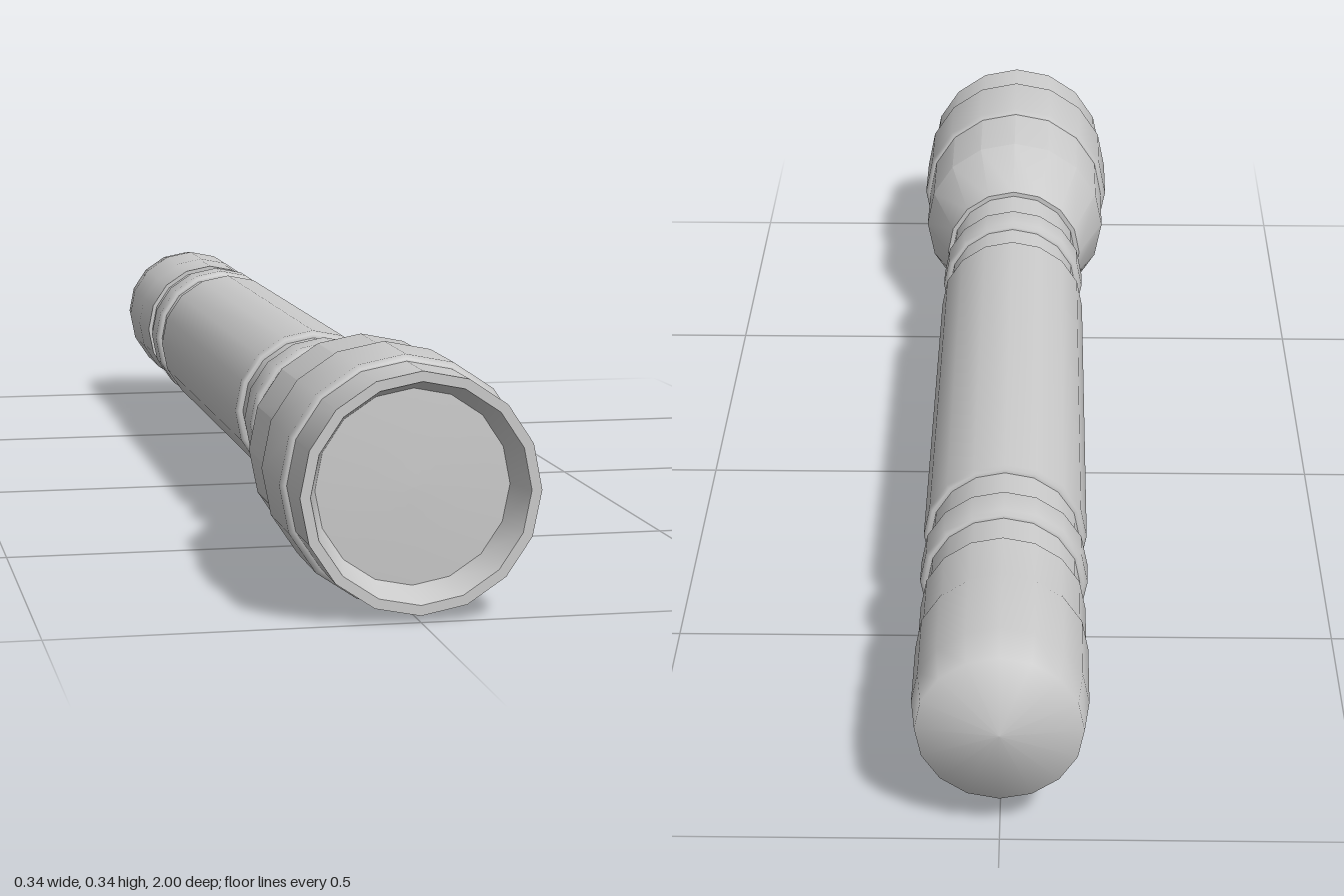
import * as THREE from 'three';
import { toCreasedNormals } from 'three/addons/utils/BufferGeometryUtils.js';

const SIDES = 16;
const AXIS_Y = 0.172;

export function createModel() {
  const torch = new THREE.Group();
  torch.name = 'flashlight';
  const material = new THREE.MeshStandardMaterial({ color: 0xcccccc });

  // Turns a [radius, z] profile, listed from tail to front, around the long axis.
  function turned(name, profile, smooth = false) {
    const points = profile.map(([r, z]) => new THREE.Vector2(r, z));
    let geometry = new THREE.LatheGeometry(points, SIDES);
    if (!smooth) geometry = toCreasedNormals(geometry, 0.5);
    geometry.rotateX(Math.PI / 2);
    const mesh = new THREE.Mesh(geometry, material);
    mesh.name = name;
    mesh.position.y = AXIS_Y;
    torch.add(mesh);
  }

  // Raised band with small bevels, sunk into the tube beneath it.
  function band(name, z0, z1, radius, base, bevel) {
    turned(name, [
      [base, z0], [radius - bevel, z0], [radius, z0 + bevel],
      [radius, z1 - bevel], [radius - bevel, z1], [base, z1],
    ], true);
  }

  // Inner tube, seen as the necks between the raised parts
  turned('tube', [[0.112, -0.69], [0.112, 0.52]]);

  // Tail cap with a shallow domed end
  turned('tailCap', [
    [0, -1], [0.115, -0.984], [0.122, -0.92], [0.122, -0.79],
    [0.119, -0.78], [0.119, -0.685],
  ], true);
  turned('tailCapShoulder', [[0.119, -0.685], [0.11, -0.685]]);

  // Grip and the ring on each side of it
  band('grip', -0.49, 0.295, 0.123, 0.11, 0.005);
  band('rearRing', -0.62, -0.558, 0.123, 0.11, 0.006);
  band('frontRing', 0.365, 0.425, 0.123, 0.11, 0.006);

  // Flared head with a hollow, bevelled mouth
  turned('head', [
    [0.108, 0.508], [0.12, 0.508], [0.163, 0.63], [0.163, 1],
    [0.149, 1], [0.133, 0.95],
  ]);
  band('headCollar', 0.77, 0.91, 0.172, 0.16, 0.006);

  // Lens at the bottom of the mouth
  turned('lens', [[0.133, 0.95], [0.07, 0.953], [0, 0.954]], true);

  return torch;
}
